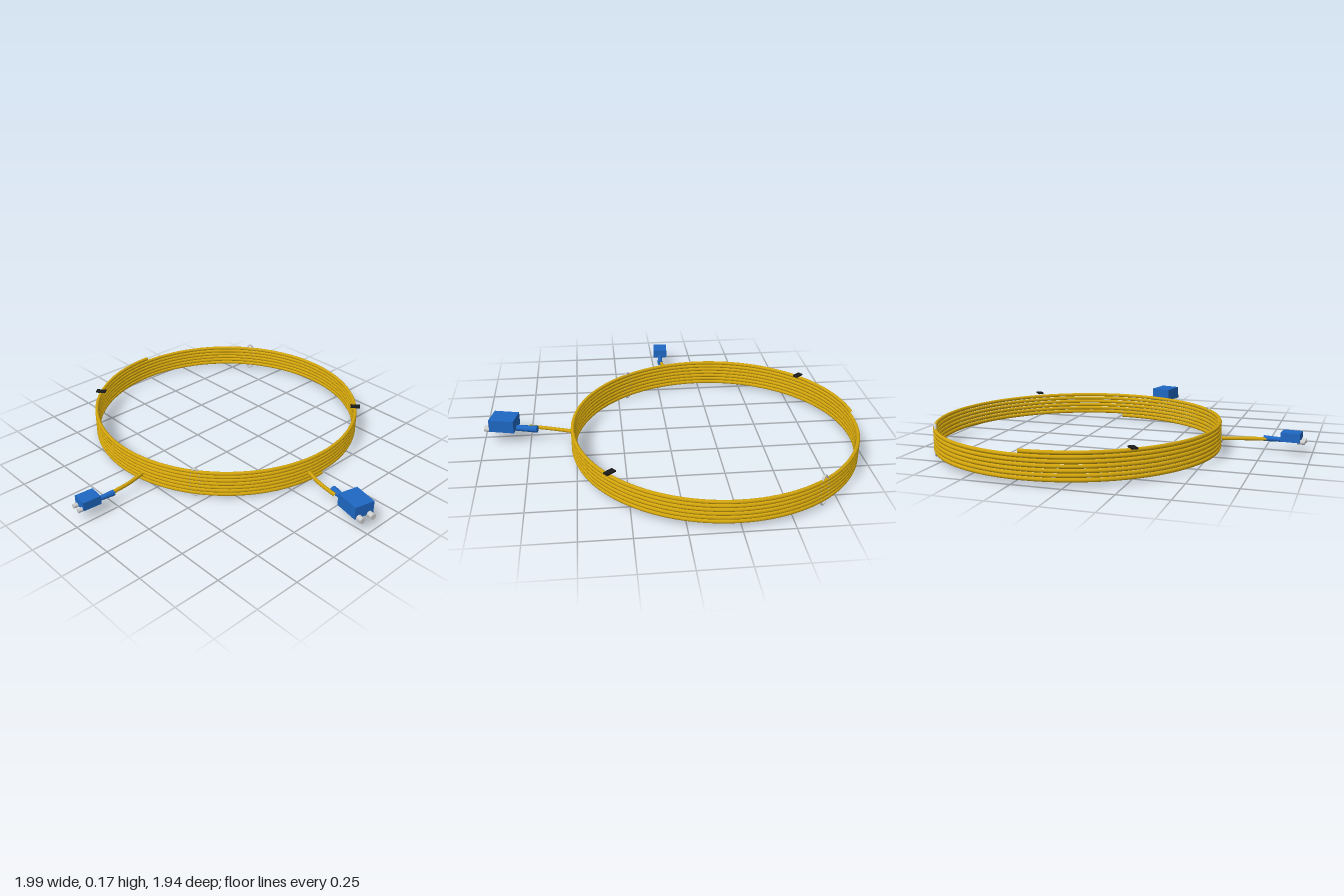
import * as THREE from 'three';

const mat = (name, color) => {
  const m = new THREE.MeshStandardMaterial({ color });
  m.name = name;
  return m;
};

export function createModel() {
  const yellow = mat('yellow jacket', 0xd4a60c);
  const blue = mat('blue plastic', 0x1f68c4);
  const black = mat('black tie', 0x1a1a1a);
  const grey = mat('light grey', 0xcfcfcf);

  const model = new THREE.Group();
  model.name = 'cableCoil';
  const add = (parent, name, geometry, material, x = 0, y = 0, z = 0) => {
    const mesh = new THREE.Mesh(geometry, material);
    mesh.name = name;
    mesh.position.set(x, y, z);
    parent.add(mesh);
    return mesh;
  };

  const CX = -0.235, CZ = -0.213, R = 0.751, WIRE = 0.0102;
  const TURNS = 6.5, Y0 = 0.02, Y1 = 0.157;

  // Wound cable: a helix starting on +x and passing the front first
  class Helix extends THREE.Curve {
    getPoint(t, target = new THREE.Vector3()) {
      const a = t * TURNS * Math.PI * 2;
      return target.set(CX + R * Math.cos(a), Y0 + (Y1 - Y0) * t, CZ + R * Math.sin(a));
    }
  }
  add(model, 'woundCable', new THREE.TubeGeometry(new Helix(), 624, WIRE, 8), yellow);

  // Paired ties on top of the coil and thin loops through the stack
  for (const turn of [0, Math.PI]) {
    const t = turn - 0.699;
    const tie = add(model, 'tie', new THREE.BoxGeometry(0.055, 0.008, 0.03), black,
      CX + R * Math.cos(t), 0.167, CZ + R * Math.sin(t));
    tie.rotation.y = -t;

    const l = turn + 0.962;
    const loop = add(model, 'loop', new THREE.TorusGeometry(0.08, 0.007, 8, 32), grey,
      CX + R * Math.cos(l), 0.087, CZ + R * Math.sin(l));
    loop.rotation.y = Math.PI / 2 - l;
    loop.scale.x = 0.35;
  }

  // Loose ends leaving the coil
  const tail = (name, points) => {
    const curve = new THREE.CatmullRomCurve3(points.map(p => new THREE.Vector3(...p)));
    add(model, name, new THREE.TubeGeometry(curve, 24, WIRE, 8), yellow);
  };
  tail('leftTail', [[0.51, 0.071, -0.112], [0.62, 0.072, -0.073], [0.755, 0.079, -0.043]]);
  tail('frontTail', [[-0.08, 0.062, 0.535], [-0.055, 0.063, 0.645], [-0.043, 0.066, 0.765]]);

  // Plug pointing along its own +x: body, tapered boot and two pins
  const plug = (name, size, x, y, z, heading, boot) => {
    const g = new THREE.Group();
    g.name = name;
    g.position.set(x, y, z);
    g.rotation.y = -heading;
    const [len, high, wide] = size;
    add(g, 'plugBody', new THREE.BoxGeometry(len, high, wide), blue);
    const sleeve = add(g, 'boot', new THREE.CylinderGeometry(boot.near, boot.far, boot.length, 12), blue,
      -len / 2 - boot.length / 2 + 0.01, boot.y, 0);
    sleeve.rotation.z = -Math.PI / 2;
    for (const side of [-1, 1]) {
      const pin = add(g, 'pin', new THREE.CylinderGeometry(boot.pin, boot.pin, len * 0.4, 12), grey,
        len / 2 + len * 0.04, boot.pinY, side * wide * 0.28);
      pin.rotation.z = -Math.PI / 2;
    }
    model.add(g);
  };
  plug('leftPlug', [0.137, 0.069, 0.115], 0.888, 0.109, -0.035, 0.235,
    { near: 0.016, far: 0.019, length: 0.125, y: -0.031, pin: 0.016, pinY: -0.031 });
  plug('frontPlug', [0.1, 0.048, 0.084], -0.047, 0.09, 0.893, Math.PI / 2 + 0.08,
    { near: 0.012, far: 0.016, length: 0.105, y: -0.022, pin: 0.012, pinY: -0.022 });

  return model;
}
